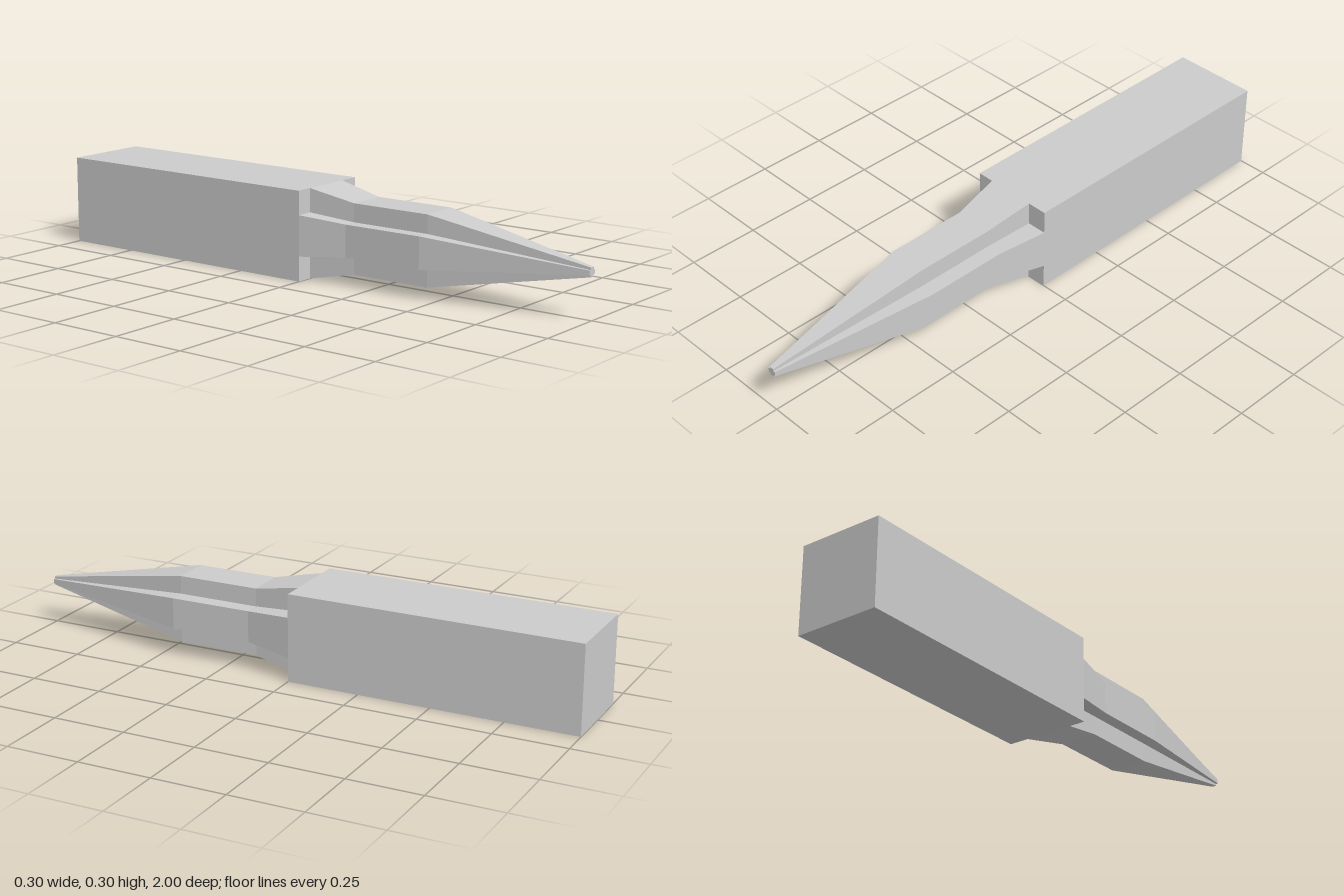
import * as THREE from 'three';

// Twelve corners of a plus-shaped section, counter-clockwise seen from the front.
// Outer limits: left, right, bottom, top. Inner limits: the sides of the two arms.
function plusSection({ outer: [l, r, b, t], inner: [il, ir, ib, it] }) {
  return [
    [il, b], [ir, b], [ir, ib], [r, ib], [r, it], [ir, it],
    [ir, t], [il, t], [il, it], [l, it], [l, ib], [il, ib],
  ].map(([x, y]) => new THREE.Vector2(x, y));
}

// Skin between consecutive sections along z.
function loft(sections) {
  const rings = sections.map((s) => plusSection(s).map((p) => [p.x, p.y, s.z]));
  const positions = [];
  for (let k = 0; k < rings.length - 1; k++) {
    const n = rings[k].length;
    for (let i = 0; i < n; i++) {
      const j = (i + 1) % n;
      const a = rings[k][i], b = rings[k][j], c = rings[k + 1][j], d = rings[k + 1][i];
      positions.push(...a, ...b, ...c, ...a, ...c, ...d);
    }
  }
  const geometry = new THREE.BufferGeometry();
  geometry.setAttribute('position', new THREE.Float32BufferAttribute(positions, 3));
  geometry.computeVertexNormals();
  return geometry;
}

export function createModel() {
  const group = new THREE.Group();
  group.name = 'squareShankPoint';
  const material = new THREE.MeshStandardMaterial({ color: 0xcccccc, flatShading: true });

  function add(name, geometry) {
    const mesh = new THREE.Mesh(geometry, material);
    mesh.name = name;
    group.add(mesh);
    return mesh;
  }

  // Square shank, the rear half
  add('shank', new THREE.BoxGeometry(0.3, 0.3, 1)).position.set(0, 0.15, -0.5);

  // Plus-shaped blade: short shoulder, straight run, long taper
  const waist = { outer: [-0.118, 0.115, 0.033, 0.267], inner: [-0.073, 0.061, 0.098, 0.205] };
  const tip = { z: 1, outer: [-0.02, 0.01, 0.136, 0.166], inner: [-0.0125, 0.003, 0.143, 0.158] };
  add('blade', loft([
    { z: 0, outer: [-0.15, 0.15, 0, 0.3], inner: [-0.092, 0.08, 0.083, 0.22] },
    { z: 0.165, ...waist },
    { z: 0.45, ...waist },
    tip,
  ]));

  // Small flat end of the blade
  add('tipFace', new THREE.ShapeGeometry(new THREE.Shape(plusSection(tip)))).position.z = tip.z;

  return group;
}
